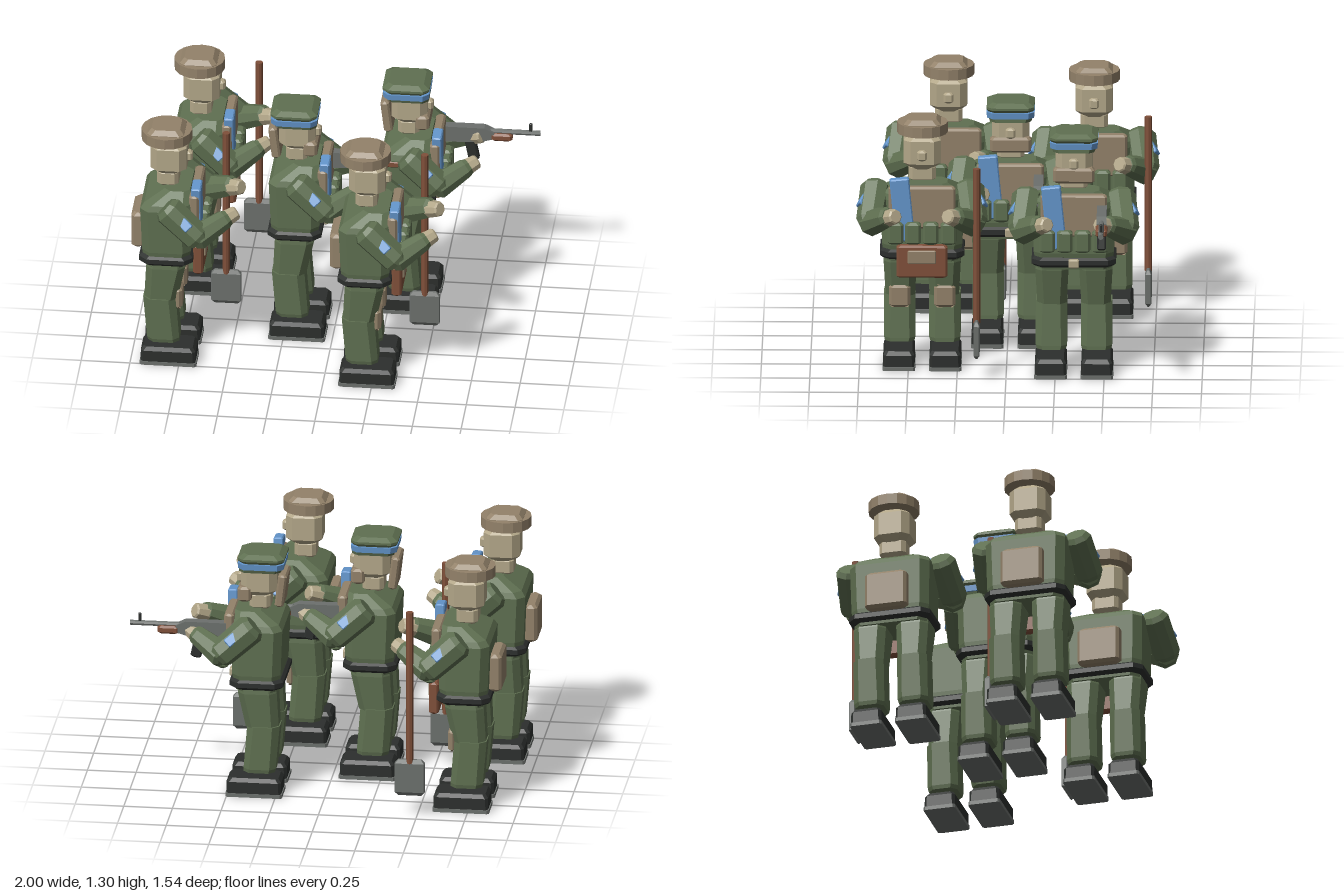
import * as THREE from 'three';

const mat = (color) => new THREE.MeshStandardMaterial({ color, flatShading: true, side: THREE.DoubleSide });
const GREEN = mat(0x5f7051), DARK = mat(0x2c2f2d), BLUE = mat(0x6496cc), TAN = mat(0x93826a);
const SKIN = mat(0xb3a789), BROWN = mat(0x80503a), STEEL = mat(0x6c706d);

// Solid through chamfered rectangles, each [y, x0, x1, halfZ, chamfer]
function loft(sections) {
  const rings = sections.map(([y, x0, x1, h, c]) => [
    [x1, y, -h + c], [x1, y, h - c], [x1 - c, y, h], [x0 + c, y, h],
    [x0, y, h - c], [x0, y, -h + c], [x0 + c, y, -h], [x1 - c, y, -h]]);
  const pos = [];
  const tri = (...pts) => pts.forEach((p) => pos.push(...p));
  for (let r = 0; r < rings.length - 1; r++) {
    const a = rings[r], b = rings[r + 1];
    for (let i = 0; i < 8; i++) {
      const j = (i + 1) % 8;
      tri(a[i], b[i], a[j]);
      tri(a[j], b[i], b[j]);
    }
  }
  const lo = rings[0], hi = rings[rings.length - 1];
  for (let i = 1; i < 7; i++) {
    tri(lo[0], lo[i], lo[i + 1]);
    tri(hi[0], hi[i + 1], hi[i]);
  }
  const g = new THREE.BufferGeometry();
  g.setAttribute('position', new THREE.Float32BufferAttribute(pos, 3));
  g.computeVertexNormals();
  return g;
}

function add(parent, name, geometry, material, x = 0, y = 0, z = 0) {
  const m = new THREE.Mesh(geometry, material);
  m.name = name;
  m.position.set(x, y, z);
  parent.add(m);
  return m;
}

// Box with bevelled edges, centred on its position
function block(parent, name, material, [w, h, d], [x, y, z], c = 0.01) {
  const a = w / 2, b = h / 2, e = d / 2;
  return add(parent, name, loft([
    [-b, -a + c, a - c, e - c, c], [-b + c, -a, a, e, c],
    [b - c, -a, a, e, c], [b, -a + c, a - c, e - c, c]]), material, x, y, z);
}

// Tapered eight-sided limb from point p to point q
function limb(parent, name, material, p, q, r0, r1) {
  const a = new THREE.Vector3(...p), b = new THREE.Vector3(...q);
  const d = b.clone().sub(a), n = d.length();
  const ring = (y, r) => [y, -r, r, r, r * 0.55];
  const m = add(parent, name, loft([
    ring(0, r0 * 0.75), ring(n * 0.1, r0), ring(n * 0.9, r1), ring(n, r1 * 0.8)]), material);
  m.position.copy(a);
  m.quaternion.setFromUnitVectors(new THREE.Vector3(0, 1, 0), d.normalize());
  return m;
}

function addBody(g) {
  add(g, 'torso', loft([
    [0.57, -0.1, 0.12, 0.19, 0.04], [0.66, -0.11, 0.14, 0.205, 0.04],
    [0.9, -0.12, 0.14, 0.21, 0.04], [0.93, -0.1, 0.14, 0.2, 0.04],
    [0.985, 0, 0.13, 0.13, 0.03]]), GREEN);
  add(g, 'belt', loft([
    [0.585, -0.11, 0.135, 0.2, 0.04], [0.6, -0.125, 0.15, 0.215, 0.04],
    [0.625, -0.125, 0.15, 0.215, 0.04], [0.637, -0.11, 0.135, 0.2, 0.04]]), DARK);
  block(g, 'buckle', SKIN, [0.03, 0.045, 0.055], [0.155, 0.612, 0], 0.006);
  block(g, 'chestPlate', TAN, [0.05, 0.22, 0.34], [0.155, 0.87, 0]);
  for (const z of [-0.135, -0.045, 0.045, 0.135])
    block(g, 'pouch', GREEN, [0.06, 0.115, 0.08], [0.19, 0.742, z], 0.012);
  const strap = block(g, 'chestStrap', BLUE, [0.05, 0.33, 0.1], [0.165, 0.86, 0.1], 0.006);
  strap.rotation.x = 0.1;

  // Head
  block(g, 'neck', SKIN, [0.11, 0.1, 0.14], [0.01, 1.02, 0], 0.02);
  block(g, 'head', SKIN, [0.185, 0.19, 0.19], [0.015, 1.14, 0], 0.035);
  block(g, 'nose', SKIN, [0.04, 0.055, 0.05], [0.113, 1.13, 0], 0.01);

  for (const s of [-1, 1]) {
    // Arms
    limb(g, 'upperArm', GREEN, [0.015, 0.95, s * 0.235], [0.2, 0.785, s * 0.265], 0.072, 0.068);
    limb(g, 'forearm', GREEN, [0.16, 0.785, s * 0.27], [0.33, 0.87, s * 0.165], 0.066, 0.048);
    limb(g, 'hand', SKIN, [0.305, 0.855, s * 0.175], [0.37, 0.882, s * 0.13], 0.043, 0.036);
    const patch = block(g, 'sleevePatch', BLUE, [0.05, 0.09, 0.025], [0.115, 0.9, s * 0.303], 0.004);
    patch.rotation.set(-s * 0.55, 0, 0.8);
    // Legs
    add(g, 'thigh', loft([
      [0.37, -0.1, 0.07, 0.075, 0.035], [0.56, -0.09, 0.11, 0.085, 0.035],
      [0.61, -0.08, 0.11, 0.08, 0.035]]), GREEN, 0, 0, s * 0.112);
    add(g, 'shin', loft([
      [0.13, -0.08, 0.08, 0.075, 0.03], [0.15, -0.085, 0.08, 0.08, 0.03],
      [0.38, -0.105, 0.062, 0.08, 0.035]]), GREEN, 0, 0, s * 0.115);
    add(g, 'boot', loft([
      [0.02, -0.115, 0.165, 0.08, 0.012], [0.08, -0.115, 0.165, 0.08, 0.015],
      [0.1, -0.1, 0.15, 0.068, 0.015]]), DARK, 0, 0, s * 0.118);
    add(g, 'sole', loft([
      [0, -0.12, 0.17, 0.083, 0.01], [0.02, -0.12, 0.17, 0.083, 0.01]]), STEEL, 0, 0, s * 0.118);
  }
}

function digger() {
  const g = new THREE.Group();
  g.name = 'soldierWithShovel';
  addBody(g);
  add(g, 'hatBand', new THREE.CylinderGeometry(0.13, 0.13, 0.055, 16), TAN, 0, 1.253, 0);
  block(g, 'hatCrown', TAN, [0.19, 0.08, 0.19], [0, 1.265, 0], 0.022);
  block(g, 'backpack', TAN, [0.07, 0.2, 0.22], [-0.138, 0.73, 0], 0.015);
  block(g, 'satchel', BROWN, [0.05, 0.17, 0.26], [0.172, 0.588, 0], 0.01);
  block(g, 'satchelTag', TAN, [0.02, 0.07, 0.145], [0.197, 0.615, 0], 0.005);
  for (const s of [-1, 1])
    block(g, 'kneePad', TAN, [0.04, 0.12, 0.11], [0.075, 0.375, s * 0.115], 0.015);
  // Shovel
  add(g, 'shovelShaft', new THREE.CylinderGeometry(0.019, 0.019, 0.82, 8), BROWN, 0.275, 0.7, -0.28);
  add(g, 'shovelBlade', loft([
    [0.115, 0.215, 0.335, 0.003, 0.001], [0.135, 0.198, 0.352, 0.016, 0.004],
    [0.29, 0.198, 0.352, 0.016, 0.004], [0.31, 0.215, 0.335, 0.006, 0.002]]), STEEL, 0, 0, -0.28);
  return g;
}

function rifleman() {
  const g = new THREE.Group();
  g.name = 'soldierWithRifle';
  addBody(g);
  // Cap with band, face mask and neck flap
  add(g, 'capBase', loft([
    [1.185, -0.1, 0.115, 0.105, 0.03], [1.215, -0.11, 0.115, 0.115, 0.03]]), GREEN);
  add(g, 'capBand', loft([
    [1.205, -0.115, 0.117, 0.12, 0.03], [1.236, -0.118, 0.12, 0.123, 0.03]]), BLUE);
  add(g, 'capCrown', loft([
    [1.232, -0.105, 0.105, 0.11, 0.03], [1.25, -0.12, 0.12, 0.122, 0.03],
    [1.262, -0.12, 0.12, 0.122, 0.03], [1.28, -0.09, 0.09, 0.092, 0.025]]), GREEN);
  block(g, 'faceMask', TAN, [0.07, 0.08, 0.21], [0.085, 1.065, 0], 0.012);
  const flap = block(g, 'neckFlap', TAN, [0.045, 0.175, 0.18], [-0.1, 1.085, 0], 0.01);
  flap.rotation.z = 0.12;

  // Rifle
  const rifle = new THREE.Group();
  rifle.name = 'rifle';
  rifle.position.z = -0.145;
  g.add(rifle);
  const profile = new THREE.Shape([
    [0.13, 0.84], [0.36, 0.85], [0.43, 0.87], [0.43, 0.905], [0.38, 0.93], [0.13, 0.93],
  ].map(([x, y]) => new THREE.Vector2(x, y)));
  add(rifle, 'receiver', new THREE.ExtrudeGeometry(profile, { depth: 0.05, bevelEnabled: false }), STEEL, 0, 0, -0.025);
  block(rifle, 'handguard', BROWN, [0.11, 0.042, 0.06], [0.468, 0.88, 0], 0.01);
  const barrel = add(rifle, 'barrel', new THREE.CylinderGeometry(0.014, 0.014, 0.255, 8), STEEL, 0.5375, 0.905, 0);
  barrel.rotation.z = Math.PI / 2;
  block(rifle, 'frontSight', DARK, [0.015, 0.055, 0.015], [0.615, 0.932, 0], 0.003);
  const mag = block(rifle, 'magazine', DARK, [0.055, 0.13, 0.045], [0.315, 0.8, 0], 0.008);
  mag.rotation.z = 0.2;
  return g;
}

export function createModel() {
  const root = new THREE.Group();
  root.name = 'soldierSquad';
  const place = (soldier, x, z) => {
    soldier.position.set(x, 0, z);
    root.add(soldier);
  };
  for (const [x, z] of [[-0.74, -0.433], [-0.83, 0.31], [0.2, 0.43]]) place(digger(), x, z);
  for (const [x, z] of [[-0.205, -0.015], [0.335, -0.345]]) place(rifleman(), x, z);
  return root;
}
